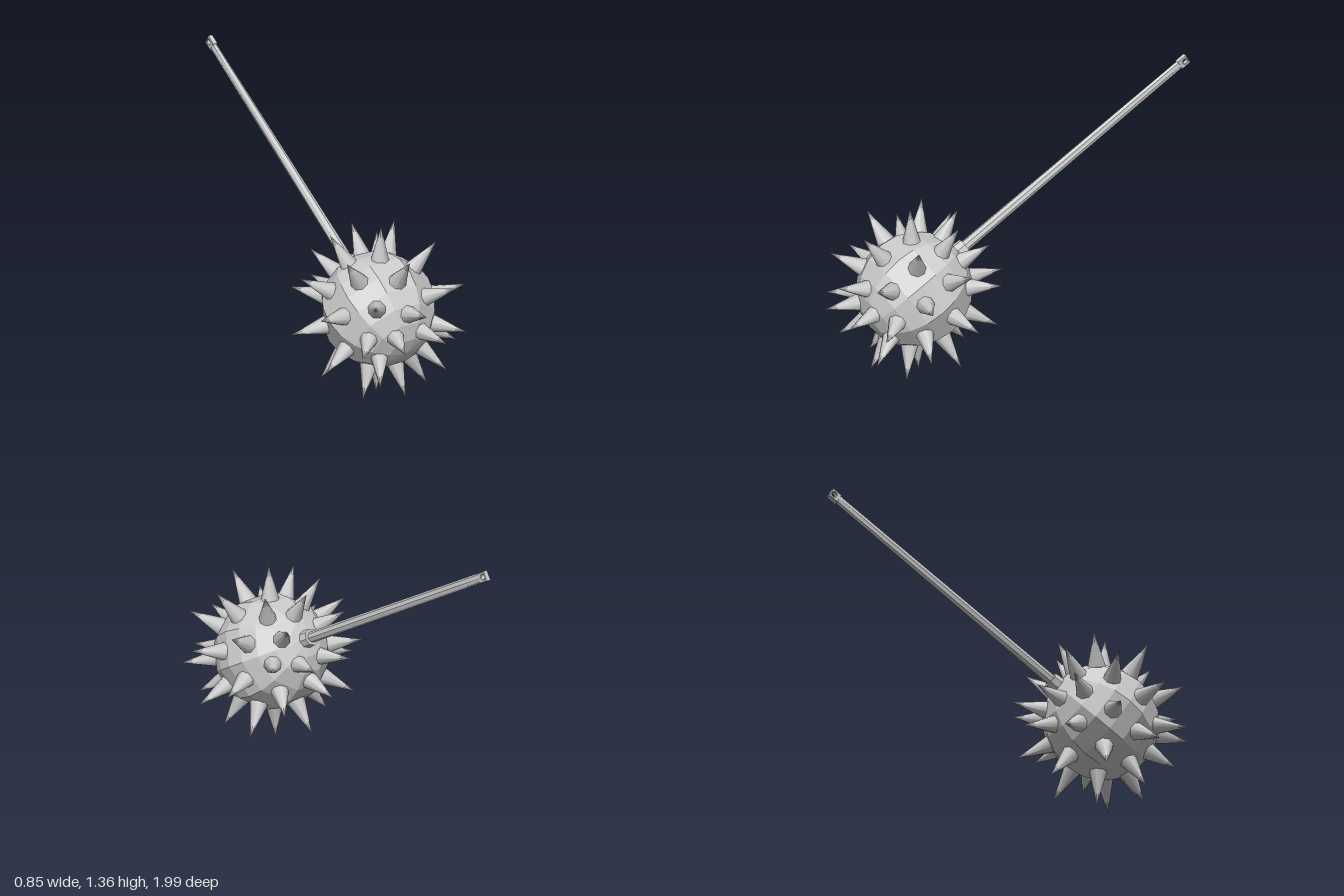
import * as THREE from 'three';

export function createModel() {
  const root = new THREE.Group();
  root.name = 'spikedMace';
  const flat = new THREE.MeshStandardMaterial({ color: 0xcccccc, flatShading: true });
  const smooth = new THREE.MeshStandardMaterial({ color: 0xcccccc });

  // Everything is built around the ball centre with the handle along +y, then tilted back
  const mace = new THREE.Group();
  mace.name = 'mace';
  mace.position.set(0, 0.458, 0.56);
  mace.rotation.x = -Math.PI / 3;
  root.add(mace);

  const add = (name, geometry, material = flat) => {
    const mesh = new THREE.Mesh(geometry, material);
    mesh.name = name;
    mace.add(mesh);
    return mesh;
  };

  // Ten-sided faceted ball
  add('ball', new THREE.SphereGeometry(0.29, 10, 10));

  // Spikes on alternate facets: eight staggered rings of five
  const inner = 0.25, tip = 0.453;
  const spike = new THREE.ConeGeometry(0.052, tip - inner, 8);
  spike.translate(0, (tip + inner) / 2, 0);
  const up = new THREE.Vector3(0, 1, 0);
  for (let ring = 0; ring < 8; ring++) {
    const polar = THREE.MathUtils.degToRad(27 + 18 * ring);
    for (let i = 0; i < 5; i++) {
      const azimuth = THREE.MathUtils.degToRad(72 * i + (ring % 2) * 36);
      const dir = new THREE.Vector3().setFromSphericalCoords(1, polar, azimuth);
      add('spike', spike, smooth).quaternion.setFromUnitVectors(up, dir);
    }
  }

  // Collar where the handle meets the ball
  const collar = new THREE.CylinderGeometry(0.042, 0.046, 0.06, 8);
  collar.translate(0, 0.3, 0);
  add('collar', collar);

  // Handle, growing thinner sideways towards its end
  const start = 0.27, plateStart = 1.735, end = 1.777;
  const handle = new THREE.CylinderGeometry(0.026, 0.028, plateStart - start, 8, 1);
  handle.translate(0, (start + plateStart) / 2, 0);
  const p = handle.attributes.position;
  for (let i = 0; i < p.count; i++) {
    const t = (p.getY(i) - start) / (plateStart - start);
    p.setX(i, p.getX(i) * (1 - 0.45 * t));
  }
  handle.computeVertexNormals();
  add('handle', handle);

  // Flattened handle end with a hole through it
  const w = 0.026, thick = 0.022, bevel = 0.003;
  const shape = new THREE.Shape();
  shape.moveTo(-w + bevel, plateStart - 0.01);
  shape.lineTo(w - bevel, plateStart - 0.01);
  shape.lineTo(w - bevel, end - bevel);
  shape.lineTo(-w + bevel, end - bevel);
  shape.closePath();
  const hole = new THREE.Path();
  hole.absarc(0, 1.757, 0.016, 0, Math.PI * 2, true);
  shape.holes.push(hole);
  const plate = new THREE.ExtrudeGeometry(shape, {
    depth: thick, bevelEnabled: true, bevelSize: bevel, bevelThickness: bevel,
    bevelSegments: 1, curveSegments: 10,
  });
  plate.translate(0, 0, -thick / 2);
  plate.rotateY(Math.PI / 2);
  add('handleEnd', plate);

  return root;
}
